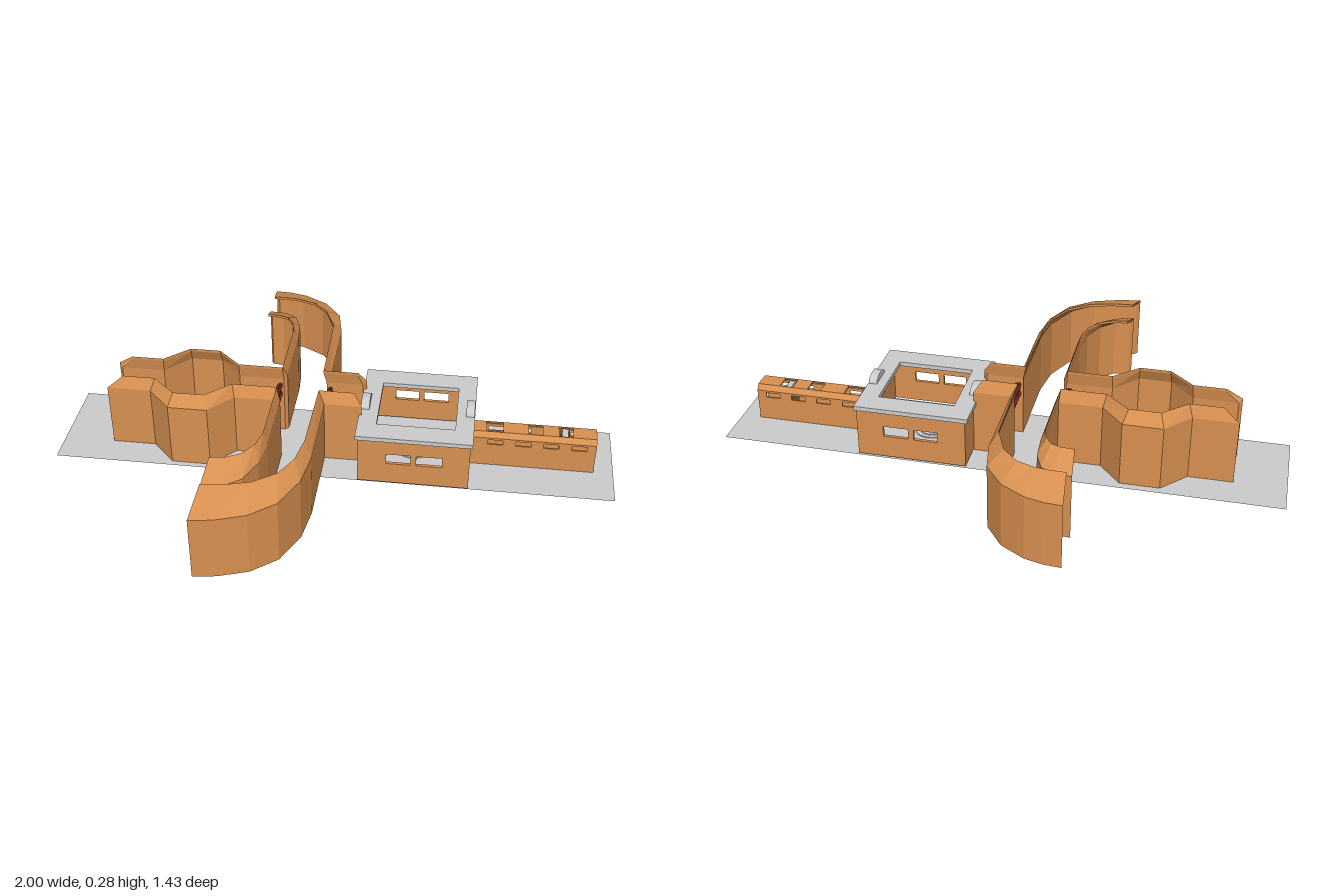
import * as THREE from 'three';

const C = -0.047; // z of the long axis
const mat = (color) => new THREE.MeshStandardMaterial({ color, flatShading: true, side: THREE.DoubleSide });
const clay = mat(0xd89050), grey = mat(0xcccccc), red = mat(0xc8443a), tan = mat(0xc8ac62), blue = mat(0x3c4fa8);

const clamp = (v) => THREE.MathUtils.clamp(v, -0.012, 0.012);

// Upright wall with a lip leaning to the left of its path; points are [x, z, lipX, lipZ]
function wallGeometry(points) {
  const sections = points.map(([x, z, lx, lz]) => {
    const ix = x + clamp(lx - x), iz = z + clamp(lz - z);
    return [[x, 0, z], [x, 0.237, z], [lx, 0.28, lz], [lx, 0.27, lz], [ix, 0.225, iz], [ix, 0, iz]];
  });
  const pos = [];
  const quad = (a, b, c, d) => pos.push(...a, ...b, ...c, ...a, ...c, ...d);
  for (let i = 0; i < sections.length - 1; i++) {
    const s = sections[i], n = sections[i + 1];
    for (let j = 0; j < 6; j++) quad(s[j], n[j], n[(j + 1) % 6], s[(j + 1) % 6]);
  }
  const s = sections[0], e = sections[sections.length - 1];
  quad(s[0], s[1], s[4], s[5]);
  quad(s[1], s[2], s[3], s[4]);
  quad(e[5], e[4], e[1], e[0]);
  quad(e[4], e[3], e[2], e[1]);
  const g = new THREE.BufferGeometry();
  g.setAttribute('position', new THREE.Float32BufferAttribute(pos, 3));
  g.computeVertexNormals();
  return g;
}

const mirrored = (points) => points.map(([x, z, lx, lz]) => [x, 2 * C - z, lx, 2 * C - lz]).reverse();

// Flat plate from [u0, v0, u1, v1] with rectangular holes
function plate(rect, holes, depth) {
  const trace = (path, [a, b, c, d]) => path.moveTo(a, b).lineTo(c, b).lineTo(c, d).lineTo(a, d).closePath();
  const shape = trace(new THREE.Shape(), rect);
  holes.forEach((h) => shape.holes.push(h instanceof THREE.Path ? h : trace(new THREE.Path(), h)));
  return new THREE.ExtrudeGeometry(shape, { depth, bevelEnabled: false });
}

export function createModel() {
  const model = new THREE.Group();
  const add = (name, geometry, material, x = 0, y = 0, z = 0, parent = model) => {
    const m = new THREE.Mesh(geometry, material);
    m.name = name;
    m.position.set(x, y, z);
    parent.add(m);
    return m;
  };
  const box = (name, w, h, d, material, x, y, z, parent) =>
    add(name, new THREE.BoxGeometry(w, h, d), material, x, y, z, parent);

  // Ground strip
  add('ground', new THREE.PlaneGeometry(2, 0.4).rotateX(-Math.PI / 2), grey, 0, 0, -0.05);

  // Chamber walls, widening into an octagon
  const chamber = [
    [-0.19, -0.13, -0.205, -0.11], [-0.355, -0.13, -0.365, -0.11], [-0.435, -0.222, -0.45, -0.19],
    [-0.575, -0.222, -0.56, -0.19], [-0.66, -0.13, -0.645, -0.11], [-0.817, -0.13, -0.76, -0.11],
  ];
  add('chamberWallBack', wallGeometry(chamber), clay);
  add('chamberWallFront', wallGeometry(mirrored(chamber)), clay);

  // Outer curved wings, starting at the hall
  const corridor = [[0.1, -0.13, 0.07, -0.11], [-0.033, -0.13, -0.055, -0.11]];
  const outerBack = [
    ...corridor, [-0.033, -0.45, -0.06, -0.42], [-0.055, -0.565, -0.1, -0.52], [-0.12, -0.65, -0.155, -0.575],
    [-0.205, -0.7, -0.22, -0.598], [-0.27, -0.716, -0.27, -0.603], [-0.33, -0.72, -0.318, -0.603],
  ];
  const outerFront = [
    [-0.37, 0.713, -0.356, 0.582], [-0.29, 0.7, -0.28, 0.575], [-0.19, 0.665, -0.195, 0.55],
    [-0.105, 0.595, -0.12, 0.495], [-0.05, 0.475, -0.078, 0.415], [-0.033, 0.35, -0.06, 0.31], ...mirrored(corridor),
  ];
  add('outerWingBack', wallGeometry(outerBack), clay);
  add('outerWingFront', wallGeometry(outerFront), clay);

  // Inner curved wings
  const innerBack = [
    [-0.19, -0.13, -0.205, -0.11], [-0.19, -0.38, -0.205, -0.37], [-0.197, -0.47, -0.217, -0.42],
    [-0.222, -0.53, -0.24, -0.455], [-0.265, -0.557, -0.275, -0.467], [-0.328, -0.562, -0.32, -0.47],
  ];
  const innerFront = [
    [-0.367, 0.552, -0.356, 0.443], [-0.3, 0.535, -0.3, 0.433], [-0.238, 0.487, -0.255, 0.408],
    [-0.202, 0.4, -0.22, 0.355], [-0.19, 0.3, -0.205, 0.29], [-0.19, 0.036, -0.205, 0.016],
  ];
  add('innerWingBack', wallGeometry(innerBack), clay);
  add('innerWingFront', wallGeometry(innerFront), clay);

  // Blue stripes inside the chamber entrance
  for (const s of [-1, 1]) box('entranceStripe', 0.14, 0.01, 0.004, blue, -0.74, 0.12, C + s * 0.07);

  // Red gates high across the corridor, crowned in the middle
  for (const x of [-0.03, -0.215]) {
    const gate = new THREE.Group();
    gate.name = 'gate';
    model.add(gate);
    box('gateRail', 0.014, 0.01, 0.14, red, x, 0.165, C, gate);
    box('gateRail', 0.014, 0.01, 0.14, red, x, 0.2, C, gate);
    for (let i = -4; i <= 4; i++) {
      const h = 0.05 + 0.025 * Math.cos((i / 4) * Math.PI / 2);
      box('gateBar', 0.008, h, 0.006, red, x, 0.16 + h / 2, C + i * 0.0155, gate);
    }
  }

  // Hall walls with paired windows
  const base = 0.008, top = 0.186;
  const windows = [[0.2, 0.09, 0.285, 0.13], [0.305, 0.09, 0.395, 0.13]];
  const side = plate([0.1, base, 0.49, top], windows, 0.012);
  add('hallWallFront', side, clay, 0, 0, C + 0.192);
  add('hallWallBack', side, clay, 0, 0, C - 0.204);
  const door = new THREE.Path().moveTo(-0.042, 0.009).lineTo(0.042, 0.009).lineTo(0.042, 0.115)
    .lineTo(0.028, 0.134).lineTo(-0.028, 0.134).lineTo(-0.042, 0.115).closePath();
  add('hallWallLeft', plate([-0.204, base, 0.204, top], [door], 0.012), clay, 0.49, 0, C).rotation.y = -Math.PI / 2;
  add('hallWallRight', plate([-0.204, base, 0.204, top], [[-0.07, 0.009, 0.07, 0.17]], 0.012), clay, 0.112, 0, C)
    .rotation.y = -Math.PI / 2;

  // Roof slab with the open court
  add('roofSlab', plate([0.09, -0.21, 0.497, 0.21], [[0.157, -0.128, 0.432, 0.128]], 0.016), grey, 0, 0.202, C)
    .rotation.x = Math.PI / 2;

  // Half-round crests on the roof
  const arc = new THREE.Shape();
  arc.absellipse(0, 0, 0.046, 0.024, 0, Math.PI, false);
  for (const x of [0.123, 0.495])
    add('roofCrest', new THREE.ExtrudeGeometry(arc, { depth: 0.03, bevelEnabled: false, curveSegments: 10 }), grey, x, 0.202, C)
      .rotation.y = -Math.PI / 2;

  // Oval floor piece in the court
  [[0.058, 0.004], [0.04, 0.008]].forEach(([r, h]) => {
    add('floorOval', new THREE.CylinderGeometry(r, r, h, 24), grey, 0.282, h / 2, C).scale.z = 0.8;
  });
  box('floorBlock', 0.024, 0.012, 0.028, grey, 0.282, 0.006, C);

  // Tunnel: pierced sides, chamfers and pierced roof
  const slots = [0.575, 0.675, 0.772, 0.87].map((x) => [x - 0.027, 0.09, x + 0.027, 0.109]);
  const tunnelSide = plate([0.49, 0, 0.93, 0.117], slots, 0.006);
  add('tunnelWallFront', tunnelSide, clay, 0, 0, C + 0.039);
  add('tunnelWallBack', tunnelSide, clay, 0, 0, C - 0.045);
  const skylights = [[0.54, 0.6], [0.69, 0.74], [0.797, 0.847]].map(([a, b]) => [a, -0.028, b, 0.028]);
  add('tunnelRoof', plate([0.467, -0.031, 0.93, 0.031], skylights, 0.006), clay, 0, 0.136, C).rotation.x = Math.PI / 2;
  for (const s of [-1, 1]) {
    const bevel = new THREE.Shape([[0.045, 0.117], [0.031, 0.136], [0.031, 0.13], [0.039, 0.117]]
      .map(([z, y]) => new THREE.Vector2(s * z, y)));
    add('tunnelBevel', new THREE.ExtrudeGeometry(bevel, { depth: 0.463, bevelEnabled: false }), clay, 0.93, 0, C)
      .rotation.y = -Math.PI / 2;
  }

  // Barred gate inside the tunnel
  const grille = new THREE.Group();
  grille.name = 'tunnelGrille';
  model.add(grille);
  for (const s of [-1, 1]) box('grillePost', 0.03, 0.115, 0.009, grey, 0.82, 0.066, C + s * 0.034, grille);
  for (const y of [0.014, 0.122]) box('grilleRail', 0.02, 0.008, 0.06, grey, 0.82, y, C, grille);
  for (let row = 0; row < 3; row++)
    for (let i = -2; i <= 2; i++)
      box('grilleBar', 0.004, 0.11, 0.005, tan, 0.806 + row * 0.014, 0.067, C + i * 0.011 + (row - 1) * 0.003, grille);

  return model;
}
